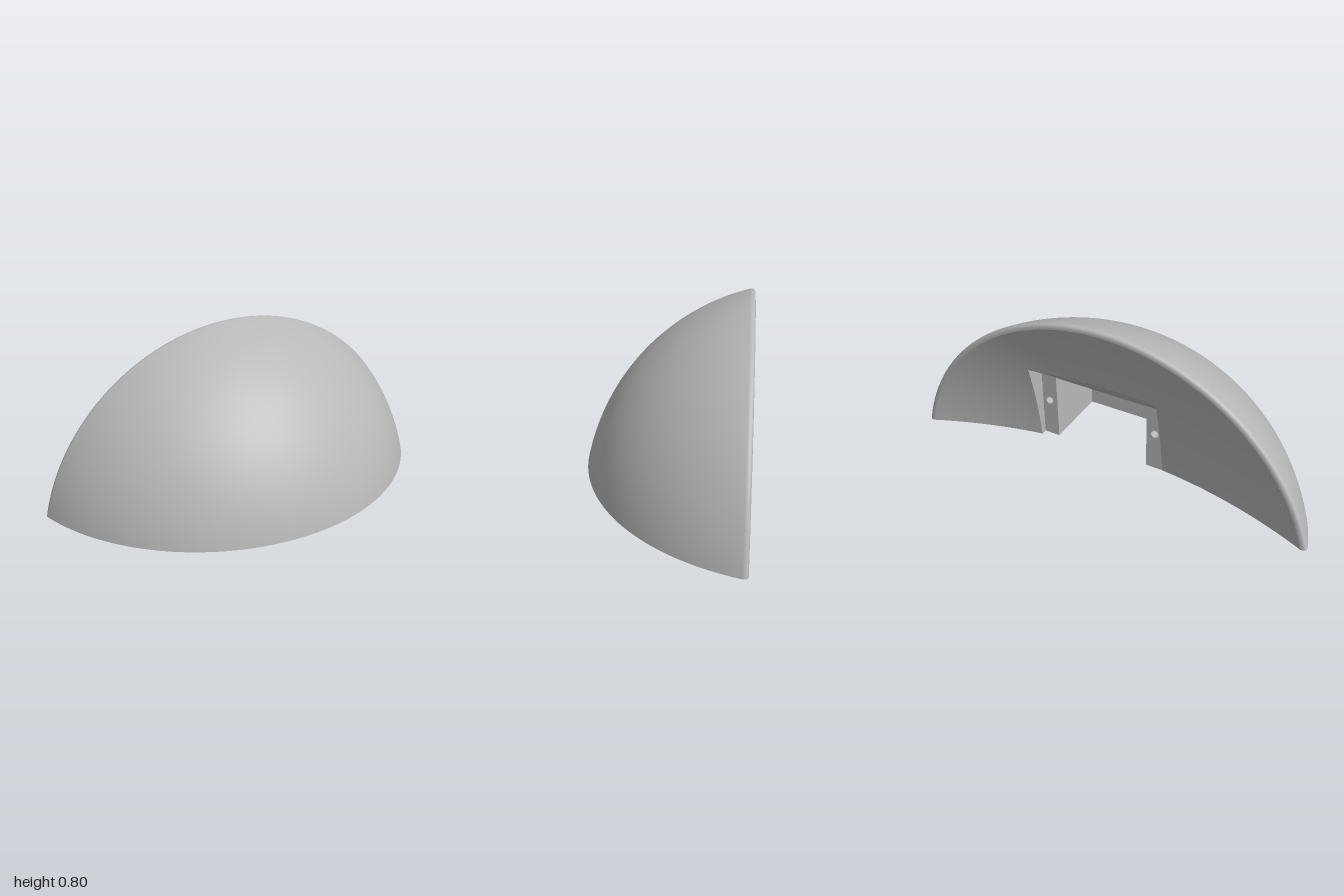
import * as THREE from 'three';

const AXIS_Y = -0.225;                 // height of the dome's axis, which runs along z
const DOME_R = 1.062, DOME_Z = -0.648; // outer sphere
const X0 = -0.22, X1 = 0.43, TOP = 0.425;   // opening in the back
const IN0 = -0.135, IN1 = 0.35;             // inner pocket between the tabs
const LEDGE_Z = -0.2, LEDGE_TOP = 0.345;    // tab faces
const CEIL_Z = -0.16, CEIL_Y = 0.31, POCKET_Z = 0.12;

const lerp = THREE.MathUtils.lerp;
const v3 = (x, y, z) => new THREE.Vector3(x, y, z);

// Hollow back surface
function bowlZ(x, y) {
  const r2 = x * x + (y - AXIS_Y) ** 2;
  return -0.181 - (2.5 - Math.sqrt(6.25 - r2));
}

// Surface through rows of points
function loft(rows, smooth = true) {
  const n = rows[0].length, index = [];
  for (let i = 0; i < rows.length - 1; i++) {
    for (let j = 0; j < n - 1; j++) {
      const a = i * n + j, b = a + n;
      index.push(a, b, a + 1, a + 1, b, b + 1);
    }
  }
  let g = new THREE.BufferGeometry().setFromPoints(rows.flat());
  g.setIndex(index);
  if (!smooth) g = g.toNonIndexed();
  g.computeVertexNormals();
  return g;
}

function circleHole(x, y, r) {
  return new THREE.Path().absarc(x, y, r, 0, Math.PI * 2, true);
}

export function createModel() {
  const group = new THREE.Group();
  const grey = new THREE.MeshStandardMaterial({ color: 0xb8b8b8, side: THREE.DoubleSide });
  grey.name = 'grey';
  const add = (name, geometry) => {
    const mesh = new THREE.Mesh(geometry, grey);
    mesh.name = name;
    group.add(mesh);
    return mesh;
  };

  // Profile of the dome: sphere, then the rounded rim
  const profile = [];
  const t0 = Math.asin(-AXIS_Y / DOME_R), t1 = Math.asin(1.0237 / DOME_R);
  for (let i = 0; i <= 56; i++) {
    const t = lerp(t0, t1, (i / 56) ** 1.3);
    profile.push(new THREE.Vector2(DOME_R * Math.sin(t), DOME_Z + DOME_R * Math.cos(t)));
  }
  const rim = new THREE.QuadraticBezierCurve(
    profile[56], new THREE.Vector2(1.028, -0.392), new THREE.Vector2(1.0, bowlZ(0, 1 + AXIS_Y)));
  profile.push(...rim.getPoints(8).slice(1));

  // Each profile radius sweeps an arc that stops at the flat base
  const arcPoint = (r, f) => {
    const start = Math.asin(Math.min(1, -AXIS_Y / r));
    const a = lerp(start, Math.PI - start, f);
    return [r * Math.cos(a), Math.max(0, r * Math.sin(a) + AXIS_Y)];
  };
  add('domeShell', loft(profile.map(p => {
    const row = [];
    for (let j = 0; j <= 96; j++) {
      const [x, y] = arcPoint(p.x, j / 96);
      row.push(v3(x, y, p.y));
    }
    return row;
  })));

  // Hollow back, from the opening's outline out to the rim
  const outline = [];
  for (let i = 0; i < 24; i++) outline.push([X1, TOP * i / 24]);
  for (let i = 0; i < 32; i++) outline.push([lerp(X1, X0, i / 32), TOP]);
  for (let i = 0; i <= 24; i++) outline.push([X0, TOP * (1 - i / 24)]);
  const backRows = [];
  for (let k = 0; k <= 16; k++) {
    backRows.push(outline.map(([x, y], i) => {
      const [rx, ry] = arcPoint(1, i / (outline.length - 1));
      const px = lerp(x, rx, k / 16), py = lerp(y, ry, k / 16);
      return v3(px, py, bowlZ(px, py));
    }));
  }
  add('hollowBack', loft(backRows));

  // Plan of the pocket: x, z, wall height
  const pocket = [
    [IN1, LEDGE_Z, LEDGE_TOP], [IN1, CEIL_Z, CEIL_Y], [IN1, POCKET_Z, CEIL_Y],
    [-0.25, POCKET_Z, CEIL_Y], [-0.25, -0.03, CEIL_Y], [IN0, -0.03, CEIL_Y],
    [IN0, CEIL_Z, CEIL_Y], [IN0, LEDGE_Z, LEDGE_TOP],
  ];
  add('pocketWalls', loft([
    pocket.map(([x, z]) => v3(x, 0, z)),
    pocket.map(([x, z, h]) => v3(x, h, z)),
  ], false));
  const ceiling = new THREE.Shape(pocket.slice(1, 7).map(([x, z]) => new THREE.Vector2(x, z)));
  add('pocketCeiling', new THREE.ShapeGeometry(ceiling).rotateX(Math.PI / 2).translate(0, CEIL_Y, 0));

  // Sloping lintel over the opening; it reaches deeper between the tabs
  const lintel = (a, b, y, z) => {
    const upper = [], lower = [];
    for (let i = 0; i <= 16; i++) {
      const x = lerp(a, b, i / 16);
      upper.push(v3(x, TOP, bowlZ(x, TOP)));
      lower.push(v3(x, y, z));
    }
    add('lintel', loft([upper, lower], false));
  };
  lintel(X0, IN0, LEDGE_TOP, LEDGE_Z);
  lintel(IN0, IN1, CEIL_Y, CEIL_Z);
  lintel(IN1, X1, LEDGE_TOP, LEDGE_Z);

  // Side walls of the opening
  for (const x of [X0, X1]) {
    const outer = [], inner = [];
    for (let i = 0; i <= 24; i++) {
      const y = TOP * i / 24, f = Math.max(0, (y - LEDGE_TOP) / (TOP - LEDGE_TOP));
      outer.push(v3(x, y, bowlZ(x, y)));
      inner.push(v3(x, y, lerp(LEDGE_Z, bowlZ(x, TOP), f)));
    }
    add('openingSide', loft([outer, inner], false));
  }

  // Screw hole: open tube with a closed end
  const screwHole = (name, r, depth) => {
    const hole = new THREE.Group();
    hole.name = name;
    const tube = new THREE.Mesh(new THREE.CylinderGeometry(r, r, depth, 32, 1, true), grey);
    tube.position.y = depth / 2;
    const end = new THREE.Mesh(new THREE.CircleGeometry(r, 32).rotateX(Math.PI / 2), grey);
    end.position.y = depth;
    hole.add(tube, end);
    group.add(hole);
    return hole;
  };

  // Mounting tabs, each with a screw hole
  for (const [a, b, hx] of [[X0, IN0, -0.179], [IN1, X1, 0.393]]) {
    const tab = new THREE.Shape([
      new THREE.Vector2(a, 0), new THREE.Vector2(b, 0),
      new THREE.Vector2(b, LEDGE_TOP), new THREE.Vector2(a, LEDGE_TOP)]);
    tab.holes.push(circleHole(hx, 0.198, 0.02));
    add('mountingTab', new THREE.ShapeGeometry(tab, 16).rotateY(Math.PI)
      .scale(-1, 1, 1).translate(0, 0, LEDGE_Z));
    const hole = screwHole('tabHole', 0.02, 0.12);
    hole.position.set(hx, 0.198, LEDGE_Z);
    hole.rotation.x = Math.PI / 2;
  }

  // Flat base with the pocket cut out and two fixing holes
  const half = profile.map(p => [Math.sqrt(Math.max(0, p.x * p.x - AXIS_Y * AXIS_Y)), p.y]);
  const rimX = half[half.length - 1][0];
  const base = [...half];
  for (let i = 1; i <= 16; i++) {
    const x = lerp(rimX, X1, i / 16);
    base.push([x, bowlZ(x, 0)]);
  }
  base.push([X1, LEDGE_Z], ...pocket.map(([x, z]) => [x, z]), [X0, LEDGE_Z]);
  for (let i = 0; i < 16; i++) {
    const x = lerp(X0, -rimX, i / 16);
    base.push([x, bowlZ(x, 0)]);
  }
  base.push(...half.slice(1).reverse().map(([x, z]) => [-x, z]));
  const baseShape = new THREE.Shape(base.map(([x, z]) => new THREE.Vector2(x, z)));
  for (const x of [-0.61, 0.61]) {
    baseShape.holes.push(circleHole(x, -0.065, 0.038));
    screwHole('baseHole', 0.038, 0.22).position.set(x, 0, -0.065);
  }
  add('flatBase', new THREE.ShapeGeometry(baseShape, 16).rotateX(Math.PI / 2));

  return group;
}
